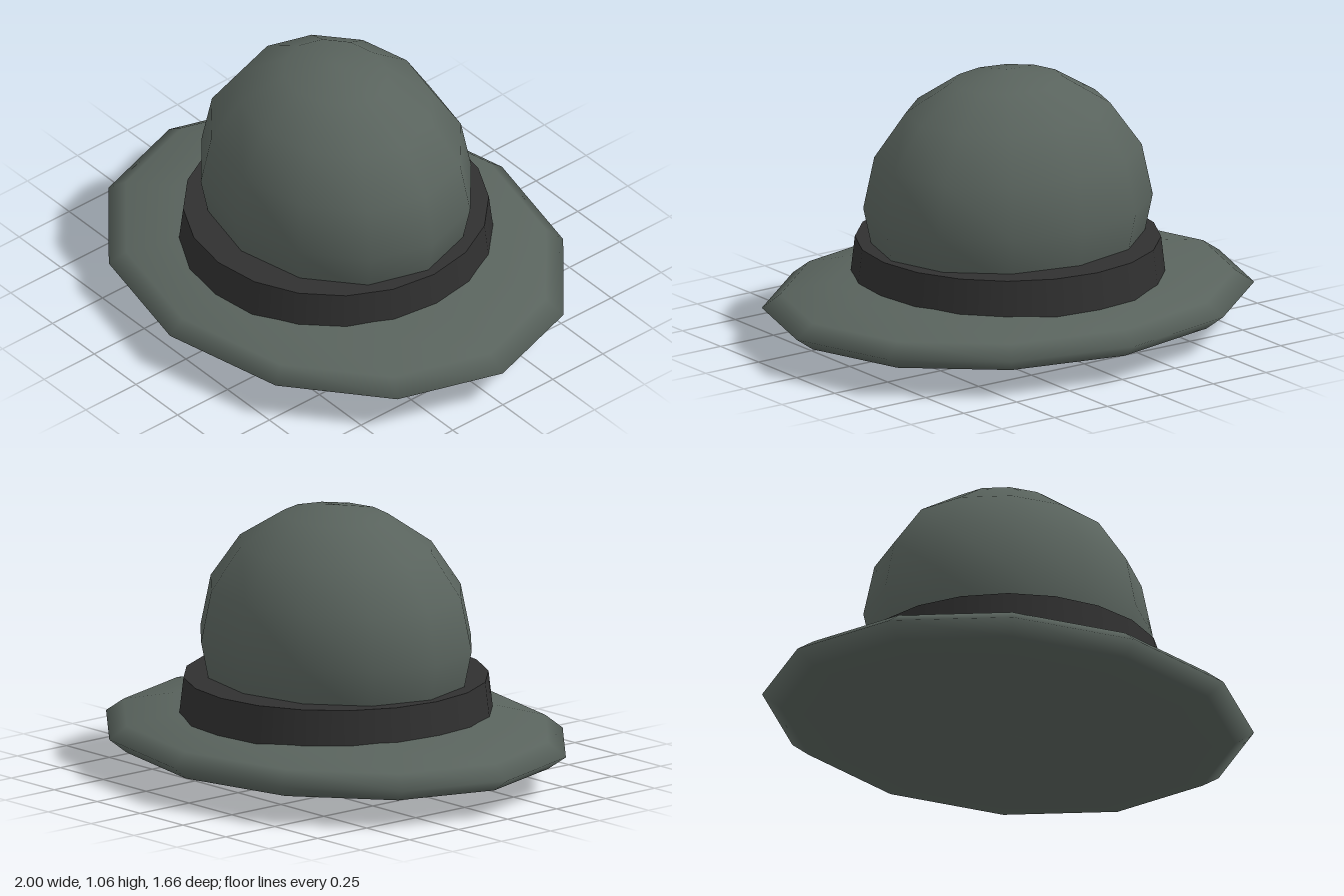
import * as THREE from 'three';

export function createModel() {
  const hat = new THREE.Group();
  hat.name = 'hat';

  const felt = new THREE.MeshStandardMaterial({ color: 0x59635d });
  felt.name = 'grey green felt';
  const ribbon = new THREE.MeshStandardMaterial({ color: 0x303030 });
  ribbon.name = 'dark ribbon';

  const add = (name, geometry, material, y) => {
    const mesh = new THREE.Mesh(geometry, material);
    mesh.name = name;
    mesh.position.y = y;
    hat.add(mesh);
  };

  // Smooth low-poly ellipsoid with the given half sizes
  const ellipsoid = (rx, ry, rz) => new THREE.SphereGeometry(1, 12, 8).scale(rx, ry, rz);

  // Wide flattened brim
  add('brim', ellipsoid(1, 0.136, 0.83), felt, 0.152);

  // Rounded crown, its lower half sunk through the brim
  add('crown', ellipsoid(0.583, 0.529, 0.5), felt, 0.529);

  // Slightly tapered band, closed on top
  add('band', new THREE.CylinderGeometry(0.588, 0.619, 0.268, 20), ribbon, 0.254);

  return hat;
}
